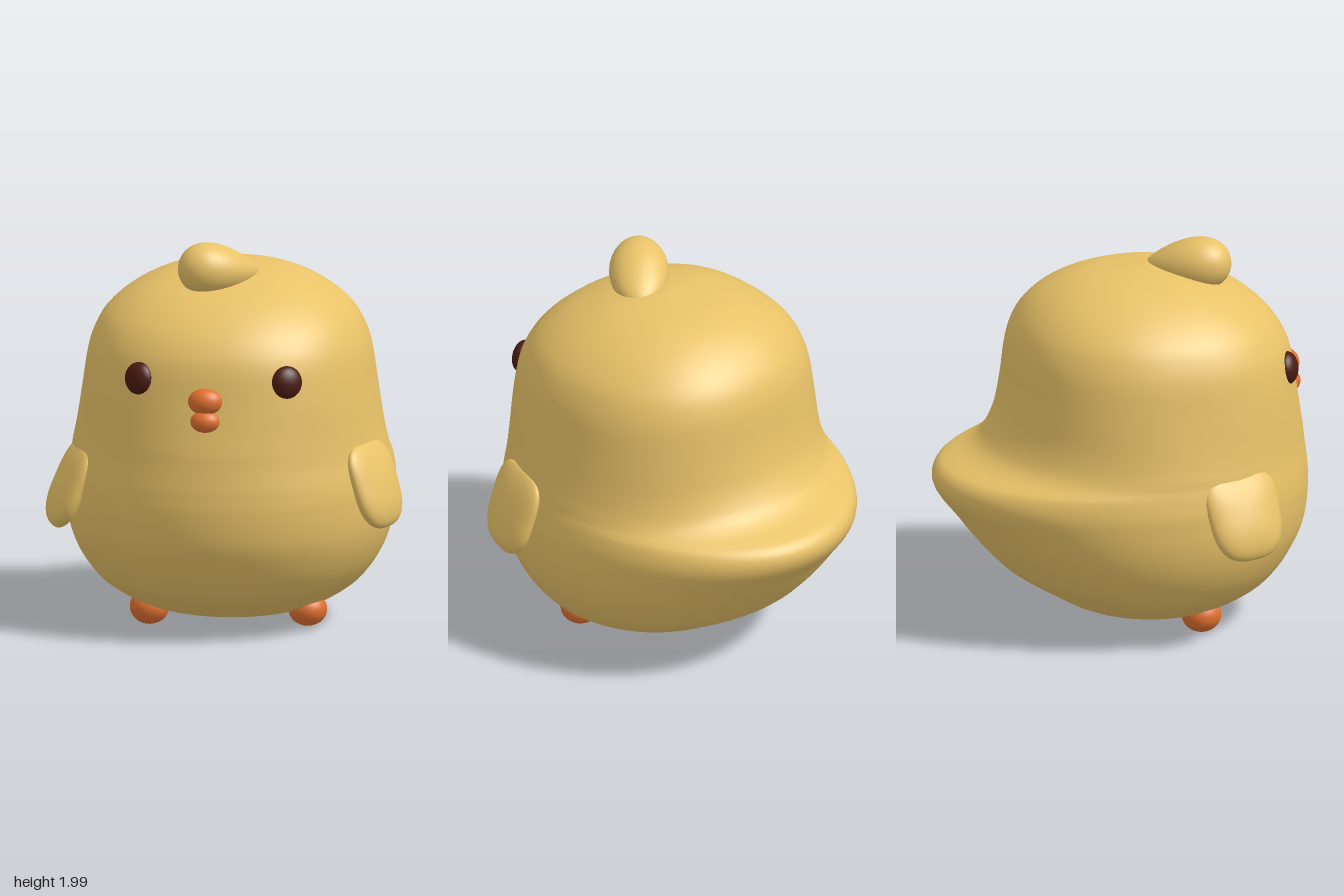
import * as THREE from 'three';

const mat = (color) => new THREE.MeshStandardMaterial({ color });
const yellow = mat(0xe8c268), orange = mat(0xe07030), brown = mat(0x4a1c12);

// Signed power, for superellipse outlines
const spow = (v, e) => Math.sign(v) * Math.abs(v) ** e;

// Body: loops stacked in y, each with a half width, a front z and a back z
function bodyGeometry() {
  const rows = [ // y, half width, front z, back z
    [0.035, 0, 0.14, 0.14], [0.05, 0.22, 0.34, -0.07], [0.1, 0.44, 0.55, -0.26],
    [0.2, 0.62, 0.73, -0.435], [0.3, 0.715, 0.825, -0.59], [0.4, 0.775, 0.885, -0.69],
    [0.5, 0.81, 0.93, -0.775], [0.6, 0.827, 0.95, -0.85], [0.7, 0.83, 0.958, -0.93],
    [0.76, 0.828, 0.956, -0.957], [0.81, 0.82, 0.953, -0.953], [0.85, 0.812, 0.948, -0.92],
    [0.875, 0.806, 0.945, -0.86], [0.9, 0.8, 0.942, -0.79], [0.94, 0.793, 0.937, -0.72],
    [1.0, 0.78, 0.93, -0.67], [1.1, 0.762, 0.912, -0.622], [1.25, 0.738, 0.887, -0.588],
    [1.4, 0.715, 0.863, -0.57], [1.5, 0.685, 0.825, -0.55], [1.6, 0.63, 0.75, -0.505],
    [1.7, 0.52, 0.622, -0.415], [1.78, 0.375, 0.45, -0.28], [1.825, 0.22, 0.29, -0.12],
    [1.845, 0, 0.13, 0.13],
  ];
  const side = new THREE.SplineCurve(rows.map((r) => new THREE.Vector2(r[1], r[0])));
  const depth = new THREE.SplineCurve(rows.map((r) => new THREE.Vector2(r[2], r[3])));
  const loops = 96, around = 72, pos = [], idx = [];
  for (let i = 0; i <= loops; i++) {
    const a = side.getPoint(i / loops), d = depth.getPoint(i / loops);
    const mid = 0.14;
    // head loops are a little squarer than the belly loops
    const e = 2 / (2 + 0.2 * THREE.MathUtils.smoothstep(a.y, 0.9, 1.3));
    for (let j = 0; j < around; j++) {
      const t = (j / around) * Math.PI * 2, s = Math.sin(t), c = Math.cos(t);
      const reach = c > 0 ? d.x - mid : mid - d.y;
      pos.push(a.x * spow(s, e), a.y, mid + reach * spow(c, e));
      if (i === loops) continue;
      const p = i * around + j, q = i * around + ((j + 1) % around);
      if (i > 0) idx.push(p, q, q + around);
      if (i < loops - 1 || i === 0) idx.push(p, q + around, p + around);
      else idx.push(p, q + around, p + around);
    }
  }
  const g = new THREE.BufferGeometry();
  g.setAttribute('position', new THREE.Float32BufferAttribute(pos, 3));
  g.setIndex(idx);
  g.computeVertexNormals();
  return g;
}

// Sphere with its vertices moved by a rule
function moved(rule) {
  const g = new THREE.SphereGeometry(1, 40, 28), p = g.attributes.position;
  const v = new THREE.Vector3();
  for (let i = 0; i < p.count; i++) {
    v.fromBufferAttribute(p, i);
    rule(v);
    p.setXYZ(i, v.x, v.y, v.z);
  }
  g.computeVertexNormals();
  return g;
}

// Wing pad: rounded square outline in y and z, thicker and rounder at the bottom
const wingGeometry = () => moved((v) => {
  const r = Math.hypot(v.y, v.z) || 1;
  const c = v.y / r, s = v.z / r;
  const n = c > 0 ? 3.6 : 2.8;
  const k = (Math.abs(c) ** n + Math.abs(s) ** n) ** (-1 / n);
  v.y *= k;
  v.z *= k * (1 + 0.06 * v.y);
  v.x *= 1 - 0.2 * v.y;
});

// Tuft: blunt at +z, thinning toward -z
const tuftGeometry = () => moved((v) => {
  v.y *= 1 + 0.4 * v.z;
  v.x *= 1 + 0.1 * v.z;
});

export function createModel() {
  const model = new THREE.Group();
  const add = (name, geo, material, at, size = [1, 1, 1], rot = [0, 0, 0]) => {
    const m = new THREE.Mesh(geo, material);
    m.name = name;
    m.position.set(...at);
    m.scale.set(...size);
    m.rotation.set(...rot, 'YZX');
    model.add(m);
  };
  const ball = new THREE.SphereGeometry(1, 32, 24);

  add('body', bodyGeometry(), yellow, [0, 0, 0]);
  add('headTuft', tuftGeometry(), yellow, [-0.025, 1.84, 0.352], [0.15, 0.125, 0.235], [-0.16, -0.75, 0]);

  // Wings, the right one a little lower and more tilted
  const wing = wingGeometry();
  add('leftWing', wing, yellow, [0.785, 0.772, 0.432], [0.068, 0.22, 0.205], [0, -0.33, 0.3]);
  add('rightWing', wing, yellow, [-0.775, 0.732, 0.435], [0.072, 0.228, 0.21], [0, 0.33, -0.37]);

  // Eyes
  add('leftEye', ball, brown, [0.383, 1.355, 0.775], [0.08, 0.083, 0.05], [-0.12, 0.5, 0]);
  add('rightEye', ball, brown, [-0.37, 1.355, 0.78], [0.08, 0.083, 0.05], [-0.12, -0.5, 0]);

  // Beak
  add('upperBeak', ball, orange, [-0.017, 1.263, 0.865], [0.09, 0.07, 0.072]);
  add('lowerBeak', ball, orange, [-0.015, 1.163, 0.875], [0.08, 0.06, 0.07]);

  // Feet
  add('leftFoot', ball, orange, [0.422, 0.1, 0.32], [0.098, 0.085, 0.1]);
  add('rightFoot', ball, orange, [-0.385, 0.09, 0.32], [0.1, 0.09, 0.1]);

  return model;
}
